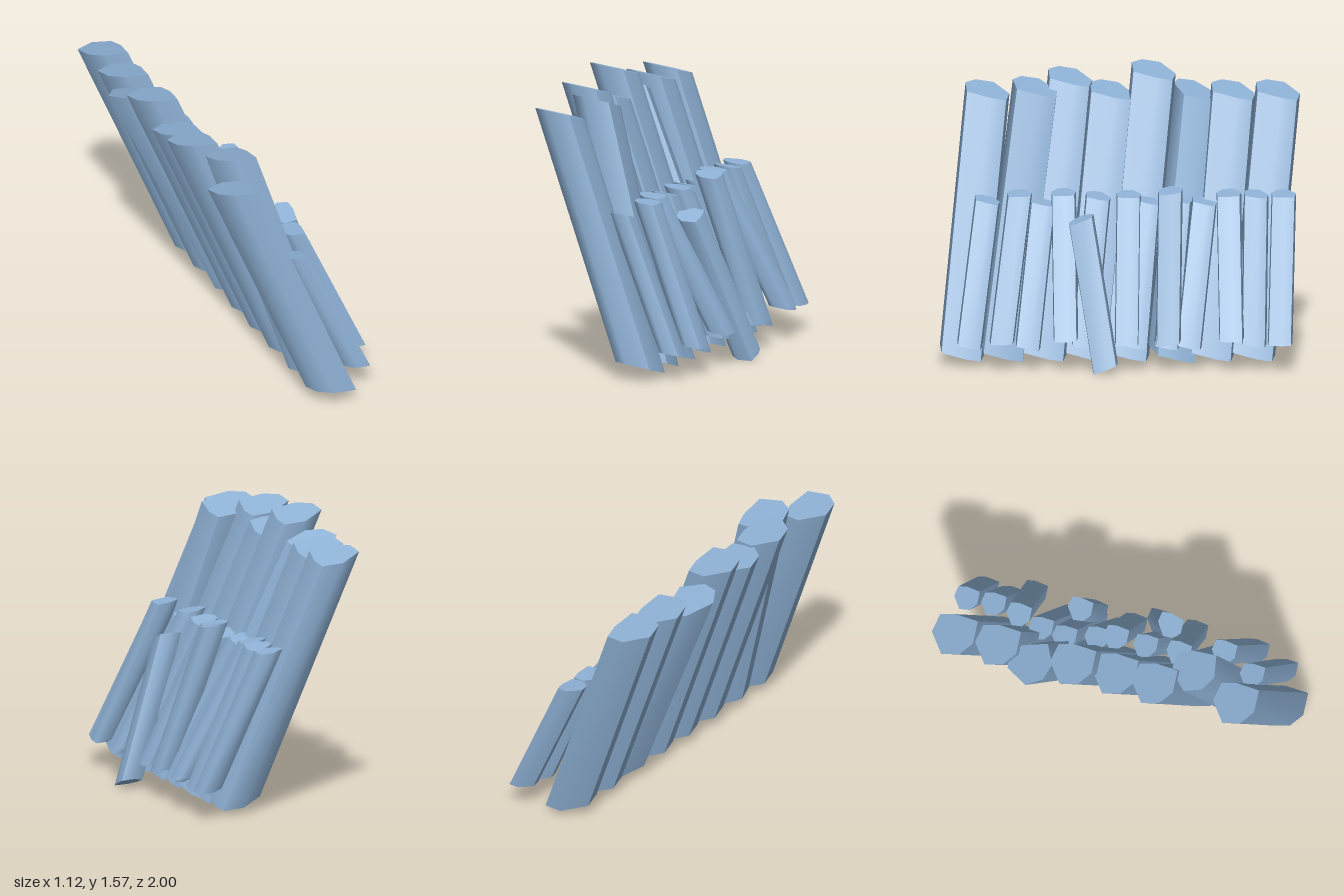
import * as THREE from 'three';
import { toCreasedNormals } from 'three/addons/utils/BufferGeometryUtils.js';

// Seven-sided outline of a column (x, z), clockwise seen from above
const OUTLINE = [
  [0, -0.122], [0.115, -0.104], [0.131, -0.02], [0.11, 0.113],
  [-0.032, 0.122], [-0.112, 0.065], [-0.129, -0.035],
];

// Leaning prism between two centres; caps slope by a along x and b along z
function columnGeometry(bottom, top, scale, a, b, yaw) {
  const c = Math.cos(yaw) * scale, s = Math.sin(yaw) * scale;
  const n = OUTLINE.length;
  const points = [];
  for (const [cx, cy, cz] of [bottom, top]) {
    for (const [px, pz] of OUTLINE) {
      const x = px * c + pz * s, z = pz * c - px * s;
      points.push(cx + x, cy + a * x + b * z, cz + z);
    }
  }
  const index = [];
  for (let i = 0; i < n; i++) {
    const j = (i + 1) % n;
    index.push(j, i, n + i, j, n + i, n + j);
    if (i > 0 && i < n - 1) index.push(0, i, j, n, n + j, n + i);
  }
  const geometry = new THREE.BufferGeometry();
  geometry.setAttribute('position', new THREE.Float32BufferAttribute(points, 3));
  geometry.setIndex(index);
  return toCreasedNormals(geometry, 0.9);
}

export function createModel() {
  const model = new THREE.Group();
  model.name = 'leaningColumns';
  const paleBlue = new THREE.MeshStandardMaterial({ color: 0x8fb2d6 });
  paleBlue.name = 'paleBlue';

  const addColumn = (parent, name, bottom, top, scale, a, b, yaw = 0) => {
    const mesh = new THREE.Mesh(columnGeometry(bottom, top, scale, a, b, yaw), paleBlue);
    mesh.name = name;
    parent.add(mesh);
  };

  // Tall back row: top x, top y, top z, bottom z, cap slope, turn
  const tallRow = new THREE.Group();
  tallRow.name = 'tallColumns';
  [
    [-0.375, 1.44, -0.878, -0.74, 0.22, 0],
    [-0.375, 1.44, -0.63, -0.51, 0.22, 0],
    [-0.43, 1.425, -0.425, -0.28, 0.33, 0.35],
    [-0.417, 1.545, -0.188, -0.04, 0.22, 0],
    [-0.375, 1.44, 0.045, 0.185, 0.22, 0],
    [-0.4, 1.51, 0.275, 0.42, 0.22, 0],
    [-0.26, 1.48, 0.47, 0.655, 0.25, 0.1],
    [-0.375, 1.44, 0.735, 0.877, 0.22, 0],
  ].forEach(([x, y, z, bz, b, yaw], i) =>
    addColumn(tallRow, `tallColumn${i + 1}`, [0.162, 0.068, bz], [x, y, z], 1, -0.16, b, yaw));

  // Short front row: top x, y, z, bottom x, y, z, cap slope
  const shortRow = new THREE.Group();
  shortRow.name = 'shortColumns';
  [
    [0.03, 0.93, -0.91, 0.385, 0.16, -0.89, 0],
    [0.035, 0.93, -0.757, 0.37, 0.153, -0.745, 0.12],
    [0.01, 0.93, -0.605, 0.42, 0.19, -0.62, -0.05],
    [-0.02, 0.88, -0.47, 0.355, 0.14, -0.385, 0.2],
    [-0.04, 0.89, -0.33, 0.355, 0.14, -0.26, 0.2],
    [0.115, 0.965, -0.28, 0.405, 0.165, -0.27, -0.15],
    [0, 0.89, -0.155, 0.355, 0.14, -0.09, 0.2],
    [0.02, 0.925, -0.05, 0.385, 0.16, -0.04, 0],
    [0.015, 0.915, 0.12, 0.355, 0.14, 0.2, 0.18],
    [0.015, 0.935, 0.312, 0.42, 0.19, 0.3, -0.05],
    [0, 0.88, 0.425, 0.355, 0.135, 0.51, 0.2],
    [0.08, 0.943, 0.555, 0.405, 0.17, 0.655, -0.03],
    [0.005, 0.893, 0.735, 0.345, 0.138, 0.835, 0.22],
  ].forEach(([x, y, z, bx, by, bz, b], i) =>
    addColumn(shortRow, `shortColumn${i + 1}`, [bx, by, bz], [x, y, z], 0.56, -0.13, b));

  // Loose column lying across the front
  addColumn(shortRow, 'looseColumn', [0.482, 0.035, 0.08], [0.2, 0.82, 0.215], 0.56, -0.05, -0.4);

  model.add(tallRow, shortRow);
  return model;
}
